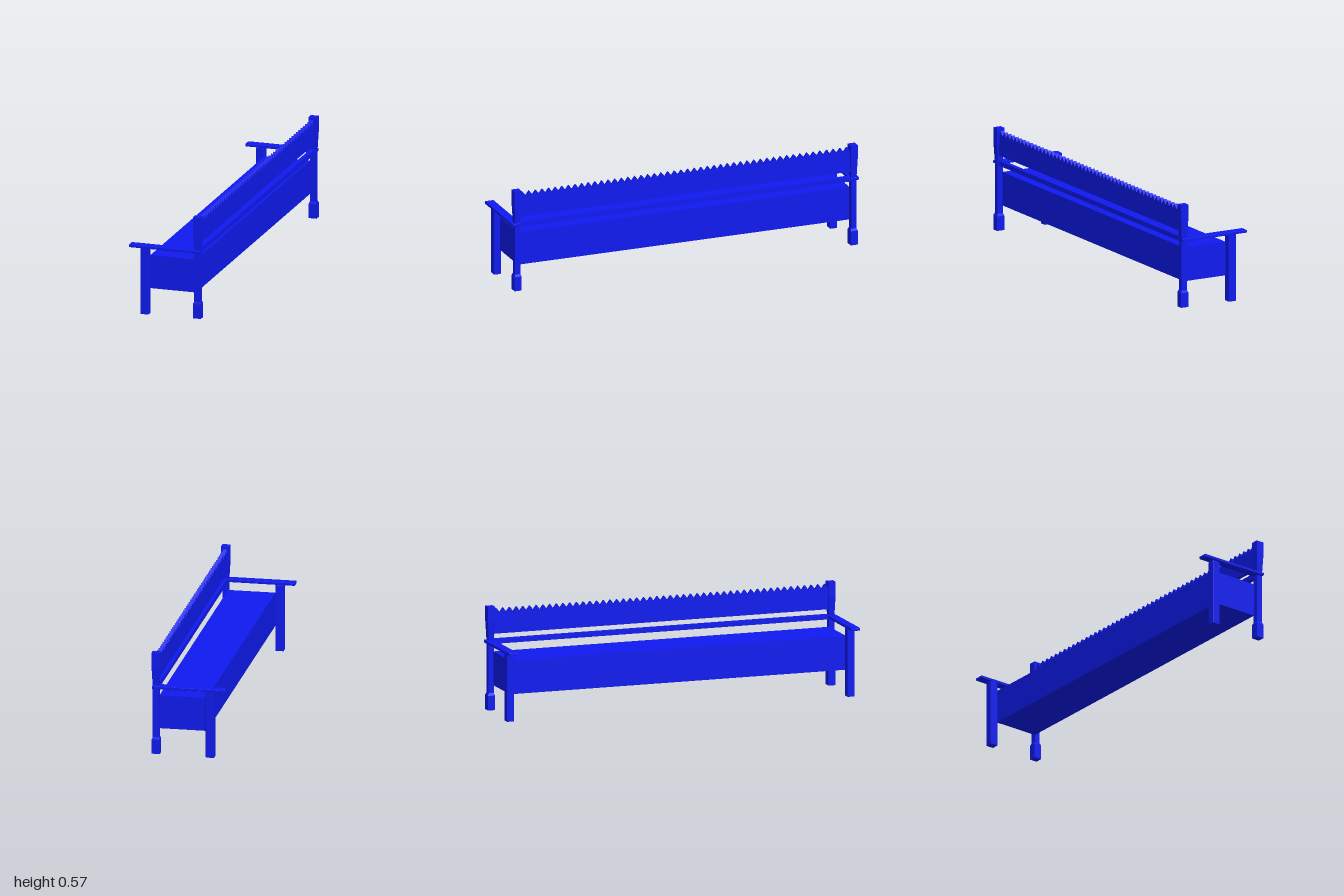
import * as THREE from 'three';
import { RoundedBoxGeometry } from 'three/addons/geometries/RoundedBoxGeometry.js';

const blue = new THREE.MeshStandardMaterial({ color: 0x0f1af0, flatShading: true });

export function createModel() {
  const bench = new THREE.Group();
  bench.name = 'bench';

  const add = (name, geometry, x = 0, y = 0, z = 0) => {
    const mesh = new THREE.Mesh(geometry, blue);
    mesh.name = name;
    mesh.position.set(x, y, z);
    bench.add(mesh);
    return mesh;
  };
  // Box given by its limits, with an optional small bevel
  const block = (name, [x0, x1], [y0, y1], [z0, z1], bevel = 0) => {
    const size = [x1 - x0, y1 - y0, z1 - z0];
    const geometry = bevel
      ? new RoundedBoxGeometry(...size, 2, bevel)
      : new THREE.BoxGeometry(...size);
    return add(name, geometry, (x0 + x1) / 2, (y0 + y1) / 2, (z0 + z1) / 2);
  };

  // Square back post with a flared foot and head: [half width, height]
  const postProfile = [
    [0, 0.005], [0.0225, 0.005], [0.0225, 0.085], [0.0165, 0.098],
    [0.0165, 0.38], [0.0225, 0.495], [0.0225, 0.57], [0, 0.57],
  ].map(([half, y]) => new THREE.Vector2(half * Math.SQRT2, y));
  const postGeometry = new THREE.LatheGeometry(postProfile, 4, Math.PI / 4);
  postGeometry.scale(1, 1, 0.9);

  // Posts, legs and armrests at both ends
  for (const [side, s] of [['left', -1], ['right', 1]]) {
    const span = (a, b) => (s > 0 ? [a, b] : [-b, -a]);
    add(side + 'BackPost', postGeometry, 0.178, 0, s * 0.97);
    block(side + 'FrontLeg', [-0.141, -0.095], [0, 0.371], span(0.95, 0.99), 0.003);
    block(side + 'Armrest', [-0.202, 0.196], [0.371, 0.386], span(0.95, 1), 0.002);
  }

  // Closed seat chest and the rail above it
  block('seatChest', [-0.095, 0.163], [0.14, 0.325], [-0.957, 0.957]);
  block('backRail', [0.165, 0.19], [0.365, 0.391], [-0.957, 0.957]);

  // Backrest board with a saw-toothed top edge
  const teeth = 50, end = 0.955, base = 0.532, tip = 0.558;
  const outline = new THREE.Shape();
  outline.moveTo(-end, 0.42);
  outline.lineTo(end, 0.42);
  const pitch = (2 * end) / teeth;
  for (let i = 0; i < teeth; i++) {
    outline.lineTo(end - i * pitch, base);
    outline.lineTo(end - (i + 0.5) * pitch, tip);
  }
  outline.lineTo(-end, base);
  outline.closePath();
  const board = new THREE.ExtrudeGeometry(outline, { depth: 0.02, bevelEnabled: false });
  board.rotateY(Math.PI / 2);
  add('backrestBoard', board, 0.167);

  return bench;
}
